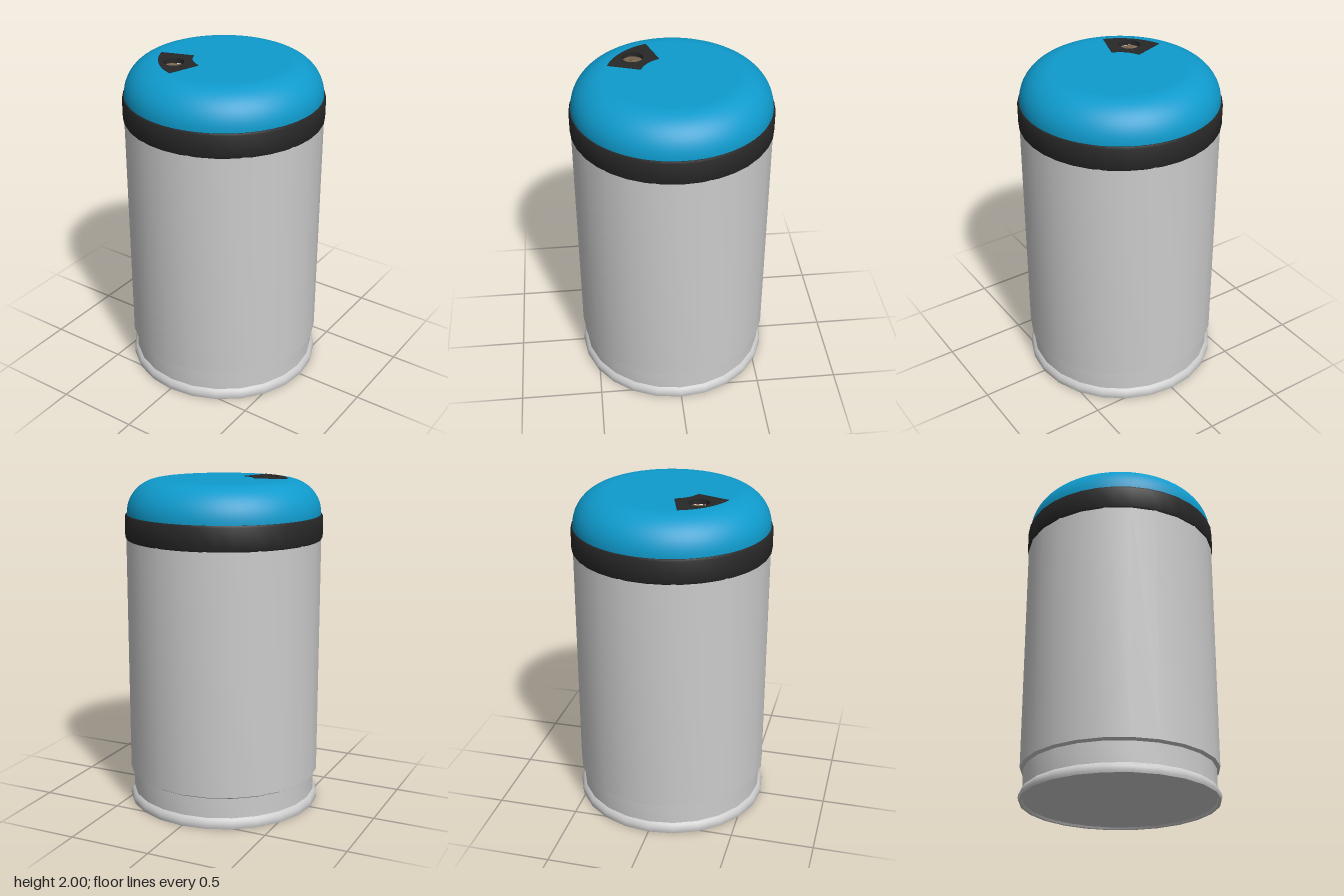
import * as THREE from 'three';
import { toCreasedNormals } from 'three/addons/utils/BufferGeometryUtils.js';

const grey = new THREE.MeshStandardMaterial({ color: 0xcccccc });
const blue = new THREE.MeshStandardMaterial({ color: 0x0f9bcd });
const black = new THREE.MeshStandardMaterial({ color: 0x282828 });
const brown = new THREE.MeshStandardMaterial({ color: 0x7a6650 });

const TOP = 1.997;
const FLAT = 0.38;

// Lathe from [radius, height] pairs, listed from the bottom centre outward and up
function lathe(points, segments) {
  const profile = points.map(([r, y]) => new THREE.Vector2(r, y));
  return toCreasedNormals(new THREE.LatheGeometry(profile, segments), 0.6);
}

// Sector of a ring around the axis, on the front right of the lid
function sector(PathType) {
  const a = Math.PI * 1.102, b = Math.PI * 1.398;
  const path = new PathType();
  path.absarc(0, 0, 0.378, a, b, false);
  path.absarc(0, 0, 0.18, b, a, true);
  path.closePath();
  return path;
}

export function createModel() {
  const group = new THREE.Group();
  const add = (name, geometry, material) => {
    const mesh = new THREE.Mesh(geometry, material);
    mesh.name = name;
    group.add(mesh);
    return mesh;
  };

  // Can with recessed underside, rolled foot and narrow neck above it
  add('body', lathe([
    [0, 0.012], [0.1, 0.012], [0.115, 0.007], [0.13, 0.012], [0.565, 0.012],
    [0.572, 0], [0.588, 0], [0.592, 0.015], [0.59, 0.035], [0.58, 0.052], [0.568, 0.062],
    [0.568, 0.185], [0.588, 0.197], [0.588, 1.7],
  ], 24), grey);

  // Dark collar
  add('collar', lathe([
    [0.57, 1.645], [0.588, 1.645], [0.594, 1.655], [0.594, 1.78], [0.588, 1.792], [0.56, 1.792],
  ], 36), black);

  // Domed shoulder of the lid
  const dome = [[0.582, 1.78]];
  for (let i = 0; i <= 14; i++) {
    const t = (i / 14) * Math.PI / 2;
    dome.push([FLAT + 0.202 * Math.cos(t), 1.797 + (TOP - 1.797) * Math.sin(t)]);
  }
  add('lidShoulder', lathe(dome, 64), blue);

  // Flat lid top with the sector cut out
  const disc = new THREE.Shape().absarc(0, 0, FLAT + 0.001, 0, Math.PI * 2, false);
  disc.holes.push(sector(THREE.Path));
  const lidTop = add('lidTop', new THREE.ShapeGeometry(disc, 32), blue);
  lidTop.rotation.x = -Math.PI / 2;
  lidTop.position.y = TOP;

  // Dark pouring plate with a round hole
  const plate = sector(THREE.Shape);
  plate.holes.push(new THREE.Path().absarc(-0.205, -0.208, 0.062, 0, Math.PI * 2, true));
  const plateGeometry = new THREE.ExtrudeGeometry(plate, { depth: 0.03, bevelEnabled: false, curveSegments: 24 });
  plateGeometry.rotateX(-Math.PI / 2);
  add('pouringPlate', plateGeometry, black).position.y = 1.97;

  // Contents seen through the hole: a bed with loose shavings on it
  add('contentsBed', new THREE.CylinderGeometry(0.09, 0.09, 0.02, 24), brown).position.set(-0.205, 1.945, 0.208);
  for (let i = 0; i < 5; i++) {
    for (let j = 0; j < 3; j++) {
      const shaving = add('shaving', new THREE.BoxGeometry(0.055, 0.008, 0.02), brown);
      shaving.position.set(-0.245 + j * 0.04, 1.96, 0.16 + i * 0.024);
      shaving.rotation.set(0.35, 0.25 * (((i + j) % 3) - 1), 0.2 * ((i + 2 * j) % 3 - 1));
    }
  }

  return group;
}
